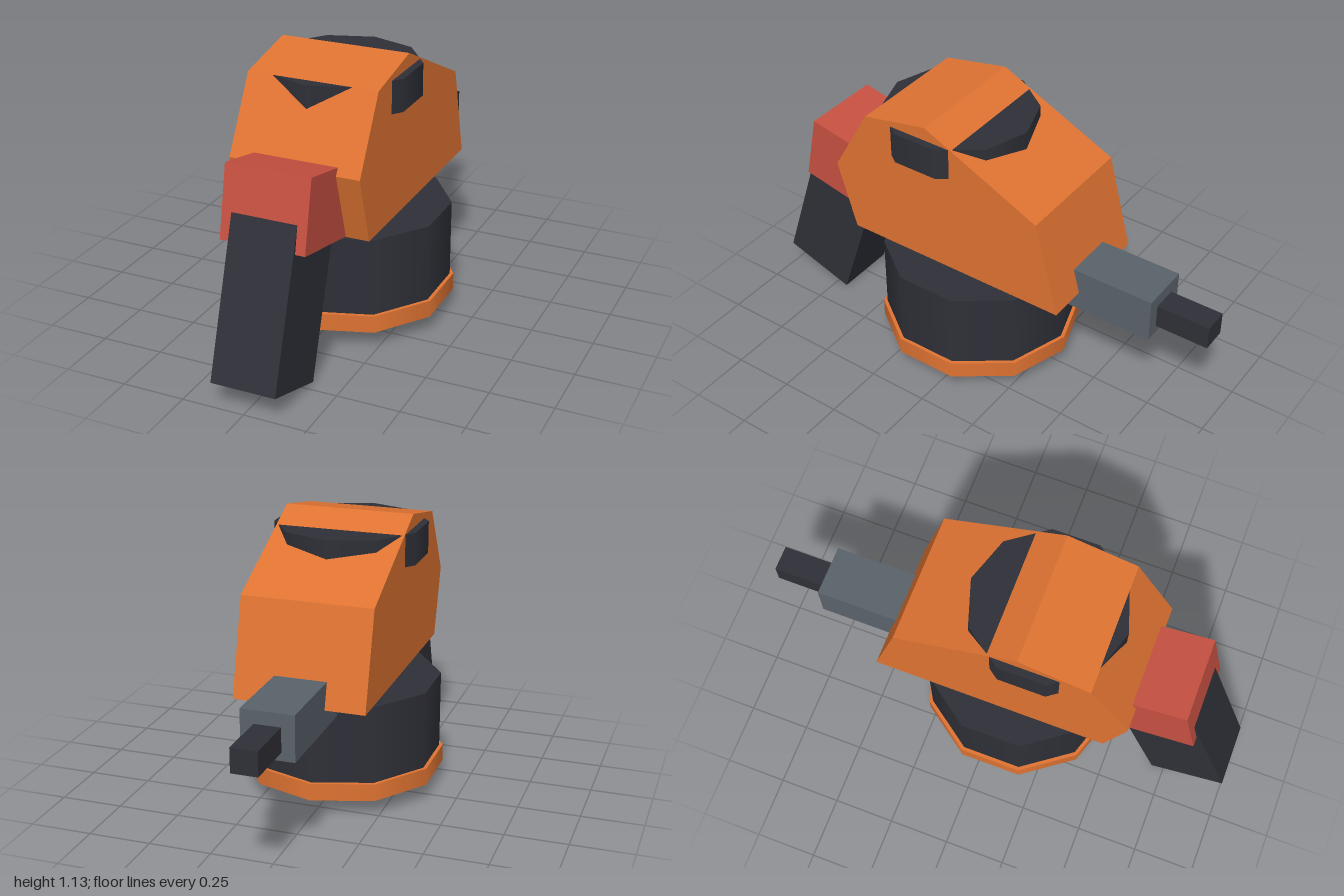
import * as THREE from 'three';

const material = (name, color) => {
  const m = new THREE.MeshStandardMaterial({ color });
  m.name = name;
  return m;
};

export function createModel() {
  const orange = material('orange', 0xdf7332);
  const red = material('red', 0xc65041);
  const steel = material('steel grey', 0x5a626a);
  const dark = material('charcoal', 0x2f3038);

  const group = new THREE.Group();
  const add = (name, geometry, mat, y, z, tilt = 0) => {
    const mesh = new THREE.Mesh(geometry, mat);
    mesh.name = name;
    mesh.position.set(0, y, z);
    mesh.rotation.x = tilt;
    group.add(mesh);
  };
  const box = (w, h, d) => new THREE.BoxGeometry(w, h, d);
  const drum = (r, h) => new THREE.CylinderGeometry(r, r, h, 10);

  // Faceted housing: side profile (z, y) extruded across the width
  const width = 0.525;
  const profile = new THREE.Shape([
    [0.49, 0.515], [0.572, 0.79], [0.41, 1.072], [0.128, 1.128], [-0.37, 0.895], [-0.472, 0.515],
  ].map(([z, y]) => new THREE.Vector2(z, y)));
  const housing = new THREE.ExtrudeGeometry(profile, { depth: width, bevelEnabled: false });
  housing.translate(0, 0, -width / 2).rotateY(-Math.PI / 2);
  add('housing', housing, orange, 0, 0);

  // Ten-sided drum poking through the top of the housing
  add('upperDrum', drum(0.307, 0.13), dark, 1.007, 0.155);

  // Magazine drum with its base rim
  add('lowerDrum', drum(0.395, 0.317), dark, 0.3045, 0.06);
  add('drumRim', drum(0.41, 0.071), orange, 0.1105, 0.06);

  // Tilted grip and its collar
  add('gripCollar', box(0.338, 0.282, 0.466), red, 0.677, 0.568, -0.21);
  add('grip', box(0.26, 0.68, 0.317), dark, 0.375, 0.742, -0.323);

  // Barrel and muzzle
  add('barrel', box(0.208, 0.181, 0.453), steel, 0.527, -0.556);
  add('muzzle', box(0.104, 0.096, 0.3), dark, 0.517, -0.85);

  return group;
}
